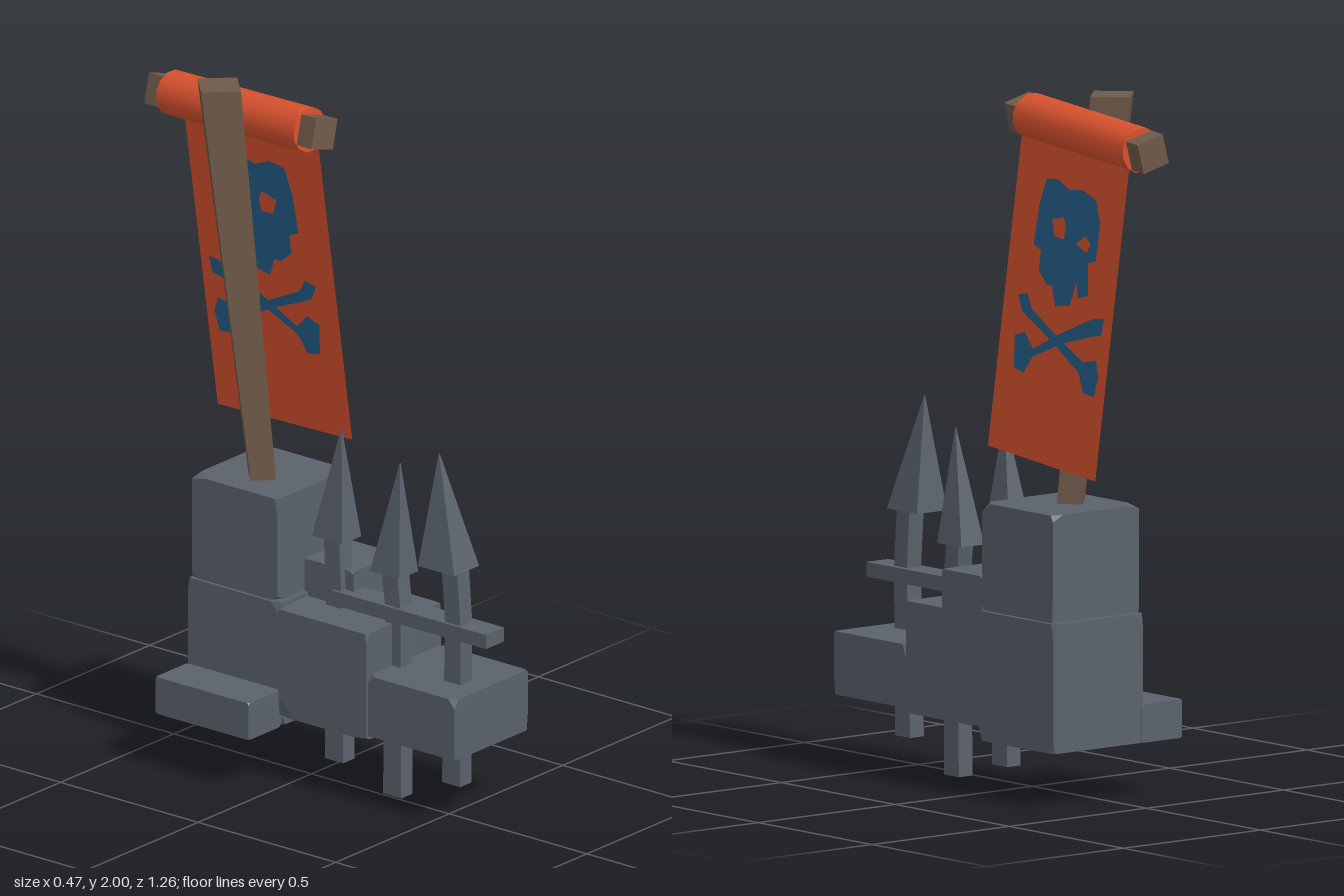
import * as THREE from 'three';
import { ConvexGeometry } from 'three/addons/geometries/ConvexGeometry.js';

const flat = { flatShading: true };
const mat = (name, color, extra = {}) => new THREE.MeshStandardMaterial({ name, color, ...extra });

// Small seeded generator for the chipped stone corners
function seeded(seed) {
  return () => {
    seed = (seed * 16807) % 2147483647;
    return seed / 2147483647;
  };
}

// Box between two corners, each corner chipped by up to `chip`
function chippedBlock([x0, x1], [y0, y1], [z0, z1], chip, seed) {
  const rnd = seeded(seed);
  const cut = () => 0.004 + chip * rnd() ** 2;
  const pts = [];
  for (const [x, sx] of [[x0, 1], [x1, -1]])
    for (const [y, sy] of [[y0, 1], [y1, -1]])
      for (const [z, sz] of [[z0, 1], [z1, -1]]) {
        pts.push(new THREE.Vector3(x + sx * cut(), y, z));
        pts.push(new THREE.Vector3(x, y + sy * cut(), z));
        pts.push(new THREE.Vector3(x, y, z + sz * cut()));
      }
  return new ConvexGeometry(pts);
}

// Four-sided loft through rings [x, y, z, halfX, halfZ], listed bottom to top
function loft(rings, turn = 0) {
  const c = Math.cos(turn), s = Math.sin(turn);
  const loops = rings.map(([x, y, z, hx, hz]) =>
    [[1, 1], [1, -1], [-1, -1], [-1, 1]].map(([i, k]) =>
      [x + i * hx * c - k * hz * s, y, z + i * hx * s + k * hz * c]));
  const pos = [];
  const quad = (a, b, d, e) => pos.push(...a, ...b, ...d, ...a, ...d, ...e);
  for (let r = 0; r < loops.length - 1; r++) {
    const a = loops[r], b = loops[r + 1];
    for (let i = 0; i < 4; i++) {
      const j = (i + 1) % 4;
      quad(a[i], a[j], b[j], b[i]);
    }
  }
  const first = loops[0], last = loops[loops.length - 1];
  quad(first[3], first[2], first[1], first[0]);
  quad(...last);
  const g = new THREE.BufferGeometry();
  g.setAttribute('position', new THREE.Float32BufferAttribute(pos, 3));
  g.computeVertexNormals();
  return g;
}

// Shape drawn in (-z, y), laid on the hanging cloth's sloping plane
function onCloth(points, offset, holes = []) {
  const toV = (list) => list.map(([s, y]) => new THREE.Vector2(s, y));
  const shape = new THREE.Shape(toV(points));
  for (const h of holes) shape.holes.push(new THREE.Path(toV(h)));
  const g = new THREE.ShapeGeometry(shape);
  const p = g.attributes.position;
  for (let i = 0; i < p.count; i++) {
    const z = -p.getX(i), y = p.getY(i);
    p.setXYZ(i, 0.06 - 0.083 * (z + 0.03) - 0.082 * (y - 1.845) + offset, y, z);
  }
  g.computeVertexNormals();
  return g;
}

export function createModel() {
  const root = new THREE.Group();
  root.name = 'bannerWall';
  const stone = mat('stone grey', 0x5a626c, flat);
  const wood = mat('pole brown', 0x6f5949, flat);
  const cloth = mat('banner orange', 0xd9522e, { side: THREE.DoubleSide });
  const paint = mat('emblem blue', 0x24608d, { side: THREE.DoubleSide });
  const add = (name, geometry, material, parent = root) => {
    const m = new THREE.Mesh(geometry, material);
    m.name = name;
    parent.add(m);
    return m;
  };

  // Stone wall
  const blocks = [
    ['upperRearStone', [-0.09, 0.225], [0.53, 0.835], [-0.36, -0.05], 0.07],
    ['lowerRearStone', [-0.095, 0.23], [0.16, 0.528], [-0.37, -0.037], 0.06],
    ['middleStone', [-0.104, 0.225], [0.197, 0.515], [-0.037, 0.285], 0.06],
    ['frontStone', [-0.097, 0.225], [0.21, 0.39], [0.28, 0.6], 0.06],
    ['stepStone', [0.03, 0.225], [0.5, 0.625], [-0.05, 0.127], 0.01],
    ['sideLedge', [-0.235, -0.09], [0.16, 0.27], [-0.373, -0.035], 0.01],
  ];
  blocks.forEach(([name, x, y, z, chip], i) =>
    add(name, chippedBlock(x, y, z, chip, 4271 * (i + 3)), stone));

  // Spear fence: bent shafts with off-centre pyramid heads
  const spears = [
    { foot: 0.085, shaft: [0.5, 0.505, 0.488], neck: 0.73, base: [0.025, 0.477, 0.055, 0.066], tip: [0.025, 1.058, 0.443] },
    { foot: 0.0, shaft: [0.286, 0.287, 0.27], neck: 0.66, base: [0.04, 0.267, 0.042, 0.053], tip: [0.04, 0.988, 0.289] },
    { foot: 0.055, shaft: [0.075, 0.072, 0.06], neck: 0.715, base: [0.04, 0.058, 0.042, 0.055], tip: [0.035, 1.042, 0.08] },
  ];
  for (const { foot, shaft, neck, base: [bx, bz, hx, hz], tip } of spears) {
    const spear = new THREE.Group();
    spear.name = 'spear';
    root.add(spear);
    add('spearShaft', loft([
      [0.033, foot, shaft[0], 0.025, 0.033],
      [0.036, 0.56, shaft[1], 0.026, 0.028],
      [0.04, neck + 0.01, shaft[2], 0.026, 0.028],
    ]), stone, spear);
    add('spearHead', loft([[bx, neck, bz, hx, hz], [...tip, 0.001, 0.001]]), stone, spear);
  }
  const rail = add('fenceRail', new THREE.BoxGeometry(0.08, 0.042, 0.56), stone);
  rail.position.set(0.04, 0.546, 0.353);

  // Leaning pole, thicker at the top
  add('pole', loft([
    [0.031, 0.8, -0.2, 0.035, 0.035],
    [-0.035, 2.0, -0.307, 0.056, 0.056],
  ], Math.PI / 4), wood);

  // Tilted crossbar with the cloth rolled around it
  const bar = new THREE.Group();
  bar.name = 'crossbar';
  bar.position.set(0.0525, 1.898, -0.3);
  bar.quaternion.setFromUnitVectors(
    new THREE.Vector3(0, 0, 1), new THREE.Vector3(-0.055, 0.035, 0.66).normalize());
  bar.rotateZ(-0.28);
  root.add(bar);
  add('crossbarBeam', new THREE.BoxGeometry(0.088, 0.088, 0.655), wood, bar);
  add('clothRoll', new THREE.CylinderGeometry(0.065, 0.065, 0.54, 12).rotateX(Math.PI / 2), cloth, bar);

  // Hanging cloth
  add('bannerCloth', onCloth([[-0.045, 0.975], [0.482, 0.943], [0.552, 1.86], [0.025, 1.885]], 0), cloth);

  // Painted skull and crossed bones on both faces
  const skull = [
    [0.162, 1.755], [0.22, 1.76], [0.273, 1.737], [0.337, 1.745], [0.406, 1.725], [0.432, 1.66],
    [0.422, 1.555], [0.385, 1.545], [0.395, 1.455], [0.347, 1.44], [0.337, 1.485], [0.31, 1.415],
    [0.241, 1.405], [0.22, 1.46], [0.194, 1.46], [0.151, 1.495], [0.156, 1.55], [0.119, 1.565], [0.135, 1.68],
  ];
  const eyes = [
    [[0.2, 1.645], [0.215, 1.6], [0.262, 1.595], [0.268, 1.635], [0.255, 1.658]],
    [[0.32, 1.592], [0.375, 1.572], [0.392, 1.6], [0.365, 1.618]],
  ];
  const bones = [
    [[0.061, 1.415], [0.103, 1.425], [0.13, 1.384], [0.241, 1.33], [0.39, 1.267], [0.454, 1.28], [0.47, 1.235],
      [0.454, 1.177], [0.4, 1.182], [0.374, 1.235], [0.23, 1.308], [0.114, 1.357], [0.082, 1.373]],
    [[0.056, 1.3], [0.103, 1.315], [0.146, 1.273], [0.257, 1.325], [0.39, 1.38], [0.432, 1.395], [0.48, 1.4],
      [0.47, 1.352], [0.42, 1.342], [0.284, 1.305], [0.146, 1.25], [0.109, 1.2], [0.061, 1.21]],
  ];
  for (const offset of [0.004, -0.004]) {
    add('skullPaint', onCloth(skull, offset, eyes), paint);
    for (const b of bones) add('bonePaint', onCloth(b, offset), paint);
  }
  return root;
}
